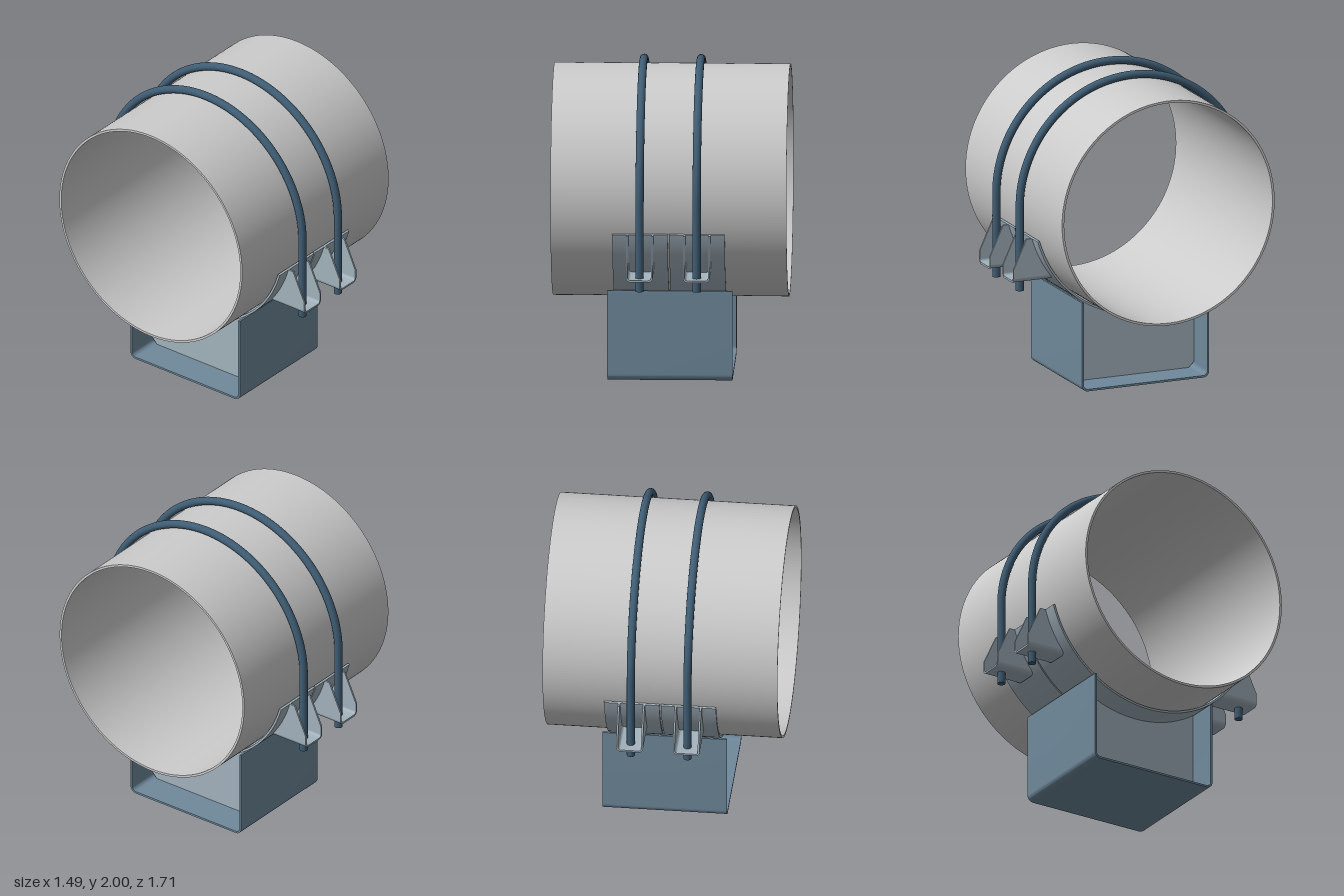
import * as THREE from 'three';
import { toCreasedNormals } from 'three/addons/utils/BufferGeometryUtils.js';

const AXIS_Y = 1.21; // height of the pipe axis
const SADDLE_IN = 0.742, SADDLE_OUT = 0.756;

const material = (color) => new THREE.MeshStandardMaterial({ color, side: THREE.DoubleSide });

function addMesh(parent, name, geometry, mat, x = 0, y = 0, z = 0) {
  const mesh = new THREE.Mesh(geometry, mat);
  mesh.name = name;
  mesh.position.set(x, y, z);
  parent.add(mesh);
  return mesh;
}

function extrude(shape, depth, curveSegments = 48) {
  const g = new THREE.ExtrudeGeometry(shape, { depth, curveSegments, bevelEnabled: false });
  return toCreasedNormals(g, 0.6);
}

// Extrudes a (z, y) profile along x, centred on x = 0
function extrudeX(shape, width, curveSegments) {
  return extrude(shape, width, curveSegments).translate(0, 0, -width / 2).rotateY(-Math.PI / 2);
}

// U-shaped sheet section, open at the top, with rounded bottom corners
function uSection(halfWidth, bottom, top, thickness, radius) {
  const s = new THREE.Shape();
  const inner = halfWidth - thickness, r = radius - thickness;
  const cx = halfWidth - radius, cy = bottom + radius;
  s.moveTo(-halfWidth, top);
  s.lineTo(-halfWidth, cy);
  s.absarc(-cx, cy, radius, Math.PI, 1.5 * Math.PI, false);
  s.absarc(cx, cy, radius, 1.5 * Math.PI, 2 * Math.PI, false);
  s.lineTo(halfWidth, top);
  s.lineTo(inner, top);
  s.absarc(cx, cy, r, 2 * Math.PI, 1.5 * Math.PI, true);
  s.absarc(-cx, cy, r, 1.5 * Math.PI, Math.PI, true);
  s.lineTo(-inner, top);
  s.closePath();
  return s;
}

function pipeGeometry() {
  const ring = new THREE.Shape().absarc(0, AXIS_Y, 0.735, 0, Math.PI * 2, false);
  ring.holes.push(new THREE.Path().absarc(0, AXIS_Y, 0.72, 0, Math.PI * 2, true));
  return extrudeX(ring, 1.49, 96);
}

function saddleGeometry() {
  const s = new THREE.Shape();
  const a = Math.PI + 0.275, b = 2 * Math.PI - 0.275;
  s.absarc(0, AXIS_Y, SADDLE_OUT, a, b, false);
  s.absarc(0, AXIS_Y, SADDLE_IN, b, a, true);
  s.closePath();
  return extrudeX(s, 0.35, 64);
}

// Cradle plate with clipped lower corners and a top hollowed to the saddle
function webGeometry() {
  const s = new THREE.Shape();
  const half = 0.427, a = Math.acos(half / SADDLE_OUT);
  s.moveTo(-half, 0.05);
  s.lineTo(-half + 0.035, 0.014);
  s.lineTo(half - 0.035, 0.014);
  s.lineTo(half, 0.05);
  s.absarc(0, AXIS_Y, SADDLE_OUT, -a, a - Math.PI, true);
  s.closePath();
  return extrudeX(s, 0.014);
}

// Side cheek of a bolt bracket, following the saddle on its inner edge
function cheekGeometry() {
  const s = new THREE.Shape();
  const low = 0.755, high = 1.005;
  const angle = (y) => Math.asin((y - AXIS_Y) / SADDLE_OUT);
  s.moveTo(0.855, low);
  s.lineTo(0.855, 0.81);
  s.lineTo(0.765, high);
  s.absarc(0, AXIS_Y, SADDLE_OUT, angle(high), angle(low), true);
  s.closePath();
  return extrudeX(s, 0.012, 20);
}

export function createModel() {
  const model = new THREE.Group();
  model.name = 'pipeSupport';
  const grey = material(0xcccccc);
  const steel = material(0xa3b3bd);
  const blue = material(0x6f899b);
  const dark = material(0x3f5d74);

  addMesh(model, 'pipe', pipeGeometry(), grey);

  // Folded base channel
  const channel = extrude(uSection(0.44, 0, 0.583, 0.013, 0.042), 0.79, 10)
    .translate(0, 0, -0.395).rotateY(-Math.PI / 2);
  addMesh(model, 'baseChannel', channel, blue);

  const saddle = saddleGeometry(), web = webGeometry(), cheek = cheekGeometry();
  const floor = extrude(uSection(0.085, 0.725, 0.756, 0.012, 0.03), 0.265, 8).translate(0, 0, 0.59);
  const arch = new THREE.TorusGeometry(0.774, 0.026, 16, 72, Math.PI).rotateY(Math.PI / 2);
  const leg = new THREE.CylinderGeometry(0.026, 0.026, 0.55, 16);

  for (const x of [-0.18, 0.18]) {
    addMesh(model, 'saddle', saddle, steel, x);
    addMesh(model, 'cradlePlate', web, steel, x);

    // U-bolt over the pipe
    const bolt = new THREE.Group();
    bolt.name = 'uBolt';
    bolt.position.x = x;
    addMesh(bolt, 'arch', arch, dark, 0, 1.2, 0);
    for (const z of [-0.774, 0.774]) addMesh(bolt, 'leg', leg, dark, 0, 0.925, z);
    model.add(bolt);

    // Bolt brackets on the front and back of the saddle
    for (const turn of [0, Math.PI]) {
      const bracket = new THREE.Group();
      bracket.name = 'boltBracket';
      bracket.position.x = x;
      bracket.rotation.y = turn;
      addMesh(bracket, 'floor', floor, steel);
      for (const side of [-1, 1]) addMesh(bracket, 'cheek', cheek, steel, side * 0.079);
      model.add(bracket);
    }
  }
  return model;
}
